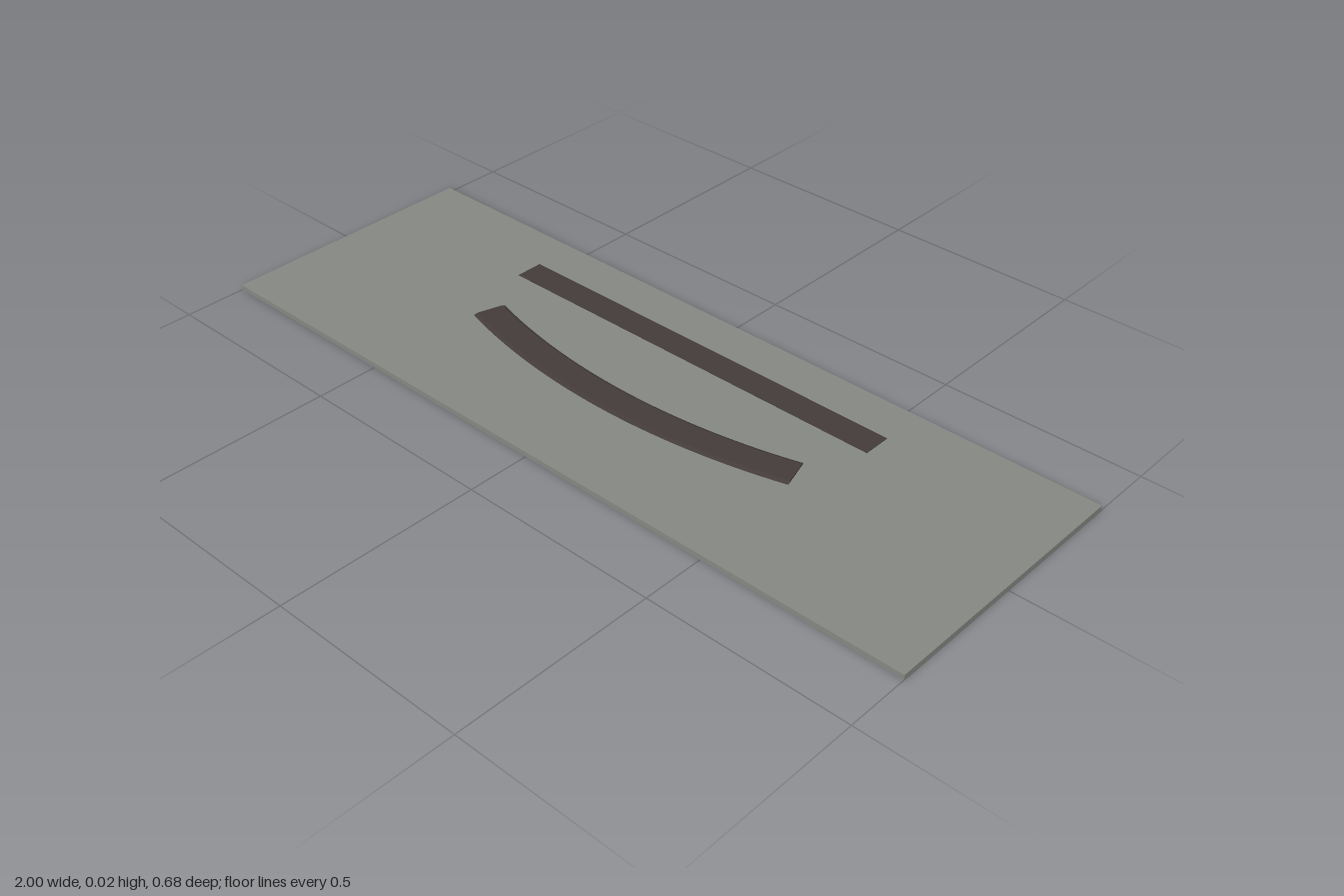
import * as THREE from 'three';

const slabGrey = new THREE.MeshStandardMaterial({ color: 0x858882 });
slabGrey.name = 'slabGrey';
const stripBrown = new THREE.MeshStandardMaterial({ color: 0x433b3a, side: THREE.DoubleSide });
stripBrown.name = 'stripBrown';

function addMesh(parent, name, geometry, material, x = 0, y = 0, z = 0) {
  const mesh = new THREE.Mesh(geometry, material);
  mesh.name = name;
  mesh.position.set(x, y, z);
  parent.add(mesh);
  return mesh;
}

export function createModel() {
  const model = new THREE.Group();
  model.name = 'panel';
  const top = 0.0125;

  // Thin rectangular base
  addMesh(model, 'slab', new THREE.BoxGeometry(2, top, 0.684), slabGrey, 0, top / 2, 0);

  // Straight inlay, practically flush with the slab
  addMesh(model, 'straightStrip', new THREE.BoxGeometry(1.076, 0.001, 0.073), stripBrown, -0.001, top, -0.1915);

  // Curved raised strip: bevelled section swept along an arc
  const curved = new THREE.Group();
  curved.name = 'curvedStrip';
  curved.position.z = -1.6;
  model.add(curved);
  const section = [[1.717, 0.012], [1.705, 0.0162], [1.64, 0.0162], [1.63, 0.012]]
    .map(([r, y]) => new THREE.Vector2(r, y));
  const half = 0.286;
  const sweep = new THREE.LatheGeometry(section, 40, -half, 2 * half).toNonIndexed();
  sweep.computeVertexNormals();
  addMesh(curved, 'curvedStripBody', sweep, stripBrown);

  // Flat ends of the curved strip
  for (const side of [-1, 1]) {
    const end = addMesh(curved, side > 0 ? 'leftEnd' : 'rightEnd',
      new THREE.ShapeGeometry(new THREE.Shape(section)), stripBrown);
    end.rotation.y = side * half - Math.PI / 2;
  }
  return model;
}
